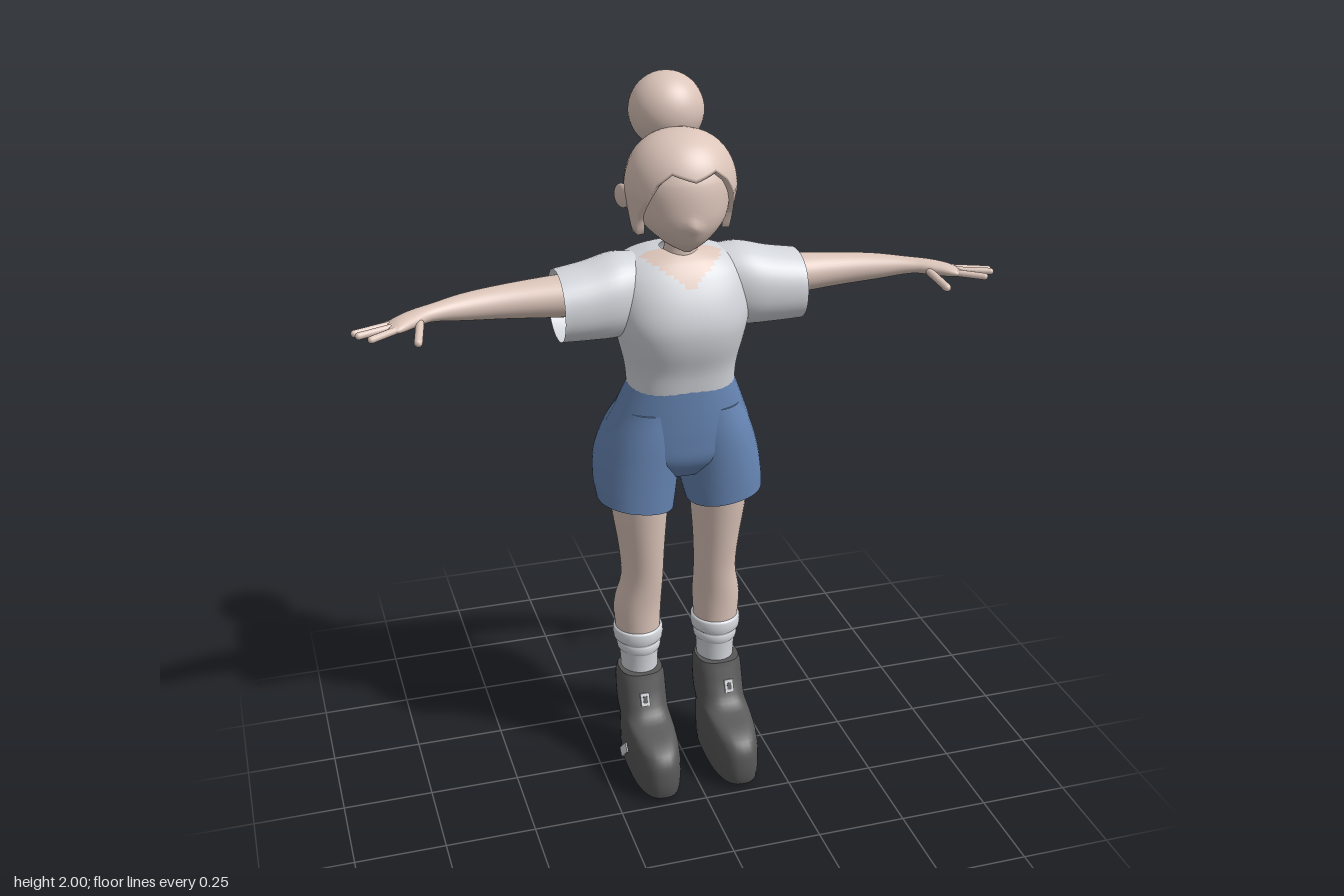
import * as THREE from 'three';

const mat = (name, color, side = THREE.FrontSide) => {
  const m = new THREE.MeshStandardMaterial({ color, side });
  m.name = name;
  return m;
};

// Closed tube of rings: fn(row, angle) gives a point, angle 0 faces front and grows towards +x.
function rings(fn, rows, seg, { flip = false, cap = [false, false] } = {}) {
  const pos = [], idx = [];
  const tri = (a, b, c) => (flip ? idx.push(a, c, b) : idx.push(a, b, c));
  const addRing = (r) => {
    for (let k = 0; k < seg; k++) pos.push(...fn(r, (k / seg) * Math.PI * 2));
  };
  for (let r = 0; r < rows; r++) addRing(r);
  for (let r = 0; r < rows - 1; r++) for (let k = 0; k < seg; k++) {
    const a = r * seg + k, b = r * seg + (k + 1) % seg;
    tri(a, b, a + seg);
    tri(b, b + seg, a + seg);
  }
  cap.forEach((on, end) => {
    if (!on) return;
    const base = pos.length / 3, mid = [0, 0, 0];
    addRing(end ? rows - 1 : 0);
    for (let k = 0; k < seg; k++) for (let i = 0; i < 3; i++) mid[i] += pos[(base + k) * 3 + i] / seg;
    pos.push(...mid);
    for (let k = 0; k < seg; k++) {
      const a = base + k, b = base + (k + 1) % seg;
      end ? tri(a, b, base + seg) : tri(b, a, base + seg);
    }
  });
  const g = new THREE.BufferGeometry();
  g.setAttribute('position', new THREE.Float32BufferAttribute(pos, 3));
  g.setIndex(idx);
  g.computeVertexNormals();
  return g;
}

// Smooth value of column c in section table t, at segment i, fraction u.
function blend(t, i, u, c) {
  const slope = (k) => {
    const a = t[Math.max(k - 1, 0)], b = t[Math.min(k + 1, t.length - 1)];
    return (b[c] - a[c]) / (b[0] - a[0]);
  };
  const h = t[i + 1][0] - t[i][0], u2 = u * u, u3 = u2 * u;
  return (2 * u3 - 3 * u2 + 1) * t[i][c] + (u3 - 2 * u2 + u) * h * slope(i)
    + (3 * u2 - 2 * u3) * t[i + 1][c] + (u3 - u2) * h * slope(i + 1);
}

// Loft through sections [along, centre, half width, front z, back z], going up y or out along x.
function loft(table, { side = 1, alongX = false, pow = 2, seg = 36, sub = 4, cap, warp } = {}) {
  const n = (table.length - 1) * sub + 1;
  const curve = (v) => Math.sign(v) * Math.abs(v) ** (2 / pow);
  const fn = (r, phi) => {
    const i = Math.min(Math.floor(r / sub), table.length - 2), u = r / sub - i;
    const [t, c, w, f, b] = [0, 1, 2, 3, 4].map((k) => blend(table, i, u, k));
    const a = c + w * curve(Math.sin(phi));
    const z = (f + b) / 2 + ((f - b) / 2) * curve(Math.cos(phi));
    let p = alongX ? [t, a, z] : [a, t, z];
    if (warp) p = warp(p);
    return [p[0] * side, p[1], p[2]];
  };
  return rings(fn, n, seg, { flip: alongX !== (side < 0), cap });
}

export function createModel() {
  const root = new THREE.Group();
  root.name = 'standingFigure';
  const skin = mat('skin', 0xdcc5ba);
  const cloth = mat('whiteCloth', 0xd3d6db, THREE.DoubleSide);
  const denim = mat('blueShorts', 0x6685b3, THREE.DoubleSide);
  const boot = mat('darkBoots', 0x575757);
  const add = (name, geo, m, parent = root) => {
    const mesh = new THREE.Mesh(geo, m);
    mesh.name = name;
    parent.add(mesh);
    return mesh;
  };

  // Head: face with a small nose, and neck
  add('face', loft([
    [1.575, 0, 0.012, 0.06, 0.02], [1.59, 0, 0.042, 0.08, -0.03], [1.61, 0, 0.07, 0.1, -0.07],
    [1.65, 0, 0.108, 0.117, -0.11], [1.70, 0, 0.124, 0.122, -0.125], [1.76, 0, 0.126, 0.117, -0.125],
    [1.80, 0, 0.1, 0.1, -0.1],
  ], {
    cap: [true, true],
    warp: ([x, y, z]) => [x, y, z + (z > 0 ? 0.014 * Math.exp(-((x / 0.014) ** 2) - ((y - 1.655) / 0.016) ** 2) : 0)],
  }), skin);
  add('neck', loft([
    [1.48, 0, 0.07, 0.04, -0.085], [1.54, 0, 0.052, 0.034, -0.065], [1.58, 0, 0.042, 0.032, -0.052], [1.64, 0, 0.045, 0.03, -0.055],
  ]), skin);

  // Hair: rounded cap whose lower edge follows a fringe, side locks and ear gaps
  const edgePoints = [[0, 1.775], [25, 1.795], [40, 1.765], [55, 1.71], [70, 1.66], [75, 1.62], [95, 1.62],
    [100, 1.71], [115, 1.71], [120, 1.645], [180, 1.635]];
  const edge = (phi) => {
    const d = Math.min(phi, Math.PI * 2 - phi) * 180 / Math.PI;
    const i = Math.max(1, edgePoints.findIndex((e) => e[0] >= d - 1e-6));
    const [a, b] = [edgePoints[i - 1], edgePoints[i]];
    return a[1] + (b[1] - a[1]) * (d - a[0]) / (b[0] - a[0]);
  };
  const hairRows = 20;
  add('hair', rings((r, phi) => {
    const low = edge(phi), v = Math.max(0, r - 1) / (hairRows - 2);
    const y = low + (1.88 - low) * Math.sin(v * Math.PI / 2);
    const h = Math.min(1, Math.max(0, (y - 1.73) / 0.15));
    const k = (y > 1.73 ? (1 - h ** 2.2) ** (1 / 2.2) : 1 - 1.2 * (1.73 - y)) * (r === 0 ? 0.84 : 1);
    return [0.147 * k * Math.sin(phi), y, -0.012 + 0.147 * k * Math.cos(phi)];
  }, hairRows, 144), skin);
  add('hairBun', new THREE.SphereGeometry(0.1, 36, 24), skin).position.set(0, 1.9, -0.14);

  // Shirt body, with the scooped neckline showing skin
  const shirt = loft([
    [1.19, 0, 0.147, 0.09, -0.115], [1.25, 0, 0.152, 0.1, -0.125], [1.32, 0, 0.168, 0.122, -0.145],
    [1.38, 0, 0.182, 0.129, -0.156], [1.44, 0, 0.188, 0.115, -0.165], [1.50, 0, 0.182, 0.085, -0.166],
    [1.54, 0, 0.145, 0.055, -0.155], [1.56, 0, 0.085, 0.03, -0.12], [1.566, 0, 0.05, 0.018, -0.08],
  ], { pow: 2.3, seg: 96 });
  const p = shirt.attributes.position, clothFaces = [], skinFaces = [];
  const index = Array.from(shirt.index.array);
  for (let i = 0; i < index.length; i += 6) {
    const quad = index.slice(i, i + 6);
    const mean = (f) => quad.reduce((s, v) => s + f(v), 0) / 6;
    const open = mean((v) => p.getZ(v)) > -0.02 && mean((v) => p.getY(v)) > 1.487 + 0.62 * mean((v) => Math.abs(p.getX(v)));
    (open ? skinFaces : clothFaces).push(...quad);
  }
  shirt.setIndex([...clothFaces, ...skinFaces]);
  shirt.addGroup(0, clothFaces.length, 0);
  shirt.addGroup(clothFaces.length, skinFaces.length, 1);
  add('shirtBody', shirt, [cloth, skin]);

  // Shorts: hips plus one rounded half per leg
  add('shortsHips', loft([
    [0.93, 0, 0.08, 0.045, -0.11], [0.98, 0, 0.185, 0.08, -0.165], [1.04, 0, 0.206, 0.088, -0.182],
    [1.12, 0, 0.18, 0.091, -0.148], [1.2, 0, 0.148, 0.091, -0.116],
  ], { pow: 2.2, cap: [true, true] }), denim);

  for (const side of [1, -1]) {
    const half = new THREE.Group();
    half.name = side > 0 ? 'leftSide' : 'rightSide';
    root.add(half);
    const part = (name, table, m, opts = {}) => add(name, loft(table, { side, ...opts }), m, half);

    part('shortsLeg', [
      [0.845, 0.128, 0.106, 0.082, -0.13], [0.9, 0.123, 0.114, 0.084, -0.172], [0.97, 0.114, 0.116, 0.086, -0.206],
      [1.05, 0.1, 0.105, 0.086, -0.188], [1.13, 0.082, 0.085, 0.08, -0.145],
    ], denim, {
      pow: 2.2, cap: [true, true],
      warp: ([x, y, z]) => [x, y + (x - 0.128) * 0.16 * Math.max(0, (0.92 - y) / 0.075), z],
    });
    part('leg', [
      [0.4, 0.117, 0.062, 0.015, -0.115], [0.5, 0.118, 0.068, 0.02, -0.122], [0.6, 0.108, 0.06, 0.032, -0.098],
      [0.7, 0.11, 0.065, 0.048, -0.105], [0.8, 0.114, 0.076, 0.062, -0.12], [0.88, 0.116, 0.082, 0.072, -0.13],
    ], skin);
    part('sock', [
      [0.26, 0.115, 0.052, 0.014, -0.105], [0.355, 0.116, 0.056, 0.015, -0.112], [0.362, 0.116, 0.062, 0.02, -0.119],
      [0.38, 0.116, 0.063, 0.021, -0.12], [0.387, 0.117, 0.06, 0.018, -0.117], [0.394, 0.117, 0.07, 0.024, -0.126],
      [0.425, 0.117, 0.071, 0.024, -0.128], [0.431, 0.117, 0.064, 0.017, -0.12],
    ], cloth, { sub: 2 });
    part('boot', [
      [0, 0.117, 0.056, 0.215, -0.09], [0.018, 0.117, 0.066, 0.238, -0.103], [0.09, 0.117, 0.07, 0.241, -0.106],
      [0.135, 0.117, 0.069, 0.222, -0.106], [0.16, 0.117, 0.068, 0.178, -0.106], [0.182, 0.117, 0.068, 0.098, -0.107],
      [0.22, 0.117, 0.069, 0.063, -0.108], [0.28, 0.117, 0.068, 0.037, -0.107], [0.3, 0.117, 0.062, 0.03, -0.1],
    ], boot, { pow: 2.6, cap: [true, true] });

    // Boot patches: outer stripe, heel tab and front buckle
    const stripe = add('bootStripe', new THREE.BoxGeometry(0.009, 0.028, 0.09), cloth, half);
    stripe.position.set(side * 0.186, 0.065, 0.043);
    stripe.rotation.x = -0.75;
    const heel = add('heelTab', new THREE.BoxGeometry(0.022, 0.045, 0.008), cloth, half);
    heel.position.set(side * 0.117, 0.12, -0.106);
    const buckle = new THREE.Group();
    buckle.name = 'buckle';
    buckle.position.set(side * 0.127, 0.235, 0.057);
    buckle.rotation.x = -0.4;
    half.add(buckle);
    add('buckleFrame', new THREE.BoxGeometry(0.026, 0.038, 0.009), cloth, buckle);
    add('buckleCentre', new THREE.BoxGeometry(0.012, 0.02, 0.004), boot, buckle).position.z = 0.004;

    // Sleeve, arm and palm
    part('sleeve', [
      [0.09, 1.455, 0.092, 0.04, -0.14], [0.17, 1.446, 0.111, 0.068, -0.148],
      [0.25, 1.437, 0.102, 0.073, -0.142], [0.33, 1.432, 0.094, 0.073, -0.135],
    ], cloth, { alongX: true, pow: 2.2 });
    part('arm', [
      [0.2, 1.445, 0.062, 0, -0.135], [0.33, 1.444, 0.055, -0.01, -0.13], [0.46, 1.446, 0.045, -0.015, -0.112],
      [0.57, 1.449, 0.035, -0.005, -0.085], [0.66, 1.453, 0.022, 0.017, -0.045], [0.71, 1.45, 0.02, 0.05, -0.032],
      [0.75, 1.447, 0.016, 0.078, -0.012], [0.775, 1.445, 0.008, 0.077, 0.005],
    ], skin, { alongX: true, cap: [true, true] });

    // Fingers and thumb: [start, end, radius]
    [
      [[0.745, 1.446, 0], [0.808, 1.436, 0.014], 0.0085],
      [[0.755, 1.447, 0.02], [0.86, 1.442, 0.05], 0.0095],
      [[0.755, 1.448, 0.043], [0.853, 1.446, 0.08], 0.0095],
      [[0.75, 1.447, 0.062], [0.825, 1.442, 0.104], 0.0095],
      [[0.695, 1.445, 0.035], [0.712, 1.424, 0.112], 0.011],
    ].forEach(([from, to, radius], i) => {
      const a = new THREE.Vector3(...from), b = new THREE.Vector3(...to);
      a.x *= side;
      b.x *= side;
      const dir = b.clone().sub(a);
      const finger = add(i === 4 ? 'thumb' : 'finger', new THREE.CapsuleGeometry(radius, dir.length(), 5, 12), skin, half);
      finger.position.copy(a).add(b).multiplyScalar(0.5);
      finger.quaternion.setFromUnitVectors(new THREE.Vector3(0, 1, 0), dir.normalize());
    });

    const ear = add('ear', new THREE.SphereGeometry(1, 20, 14), skin, half);
    ear.scale.set(0.011, 0.036, 0.026);
    ear.position.set(side * 0.148, 1.71, -0.038);
    ear.rotation.set(0.35, -side * 0.6, 0);
  }
  return root;
}
